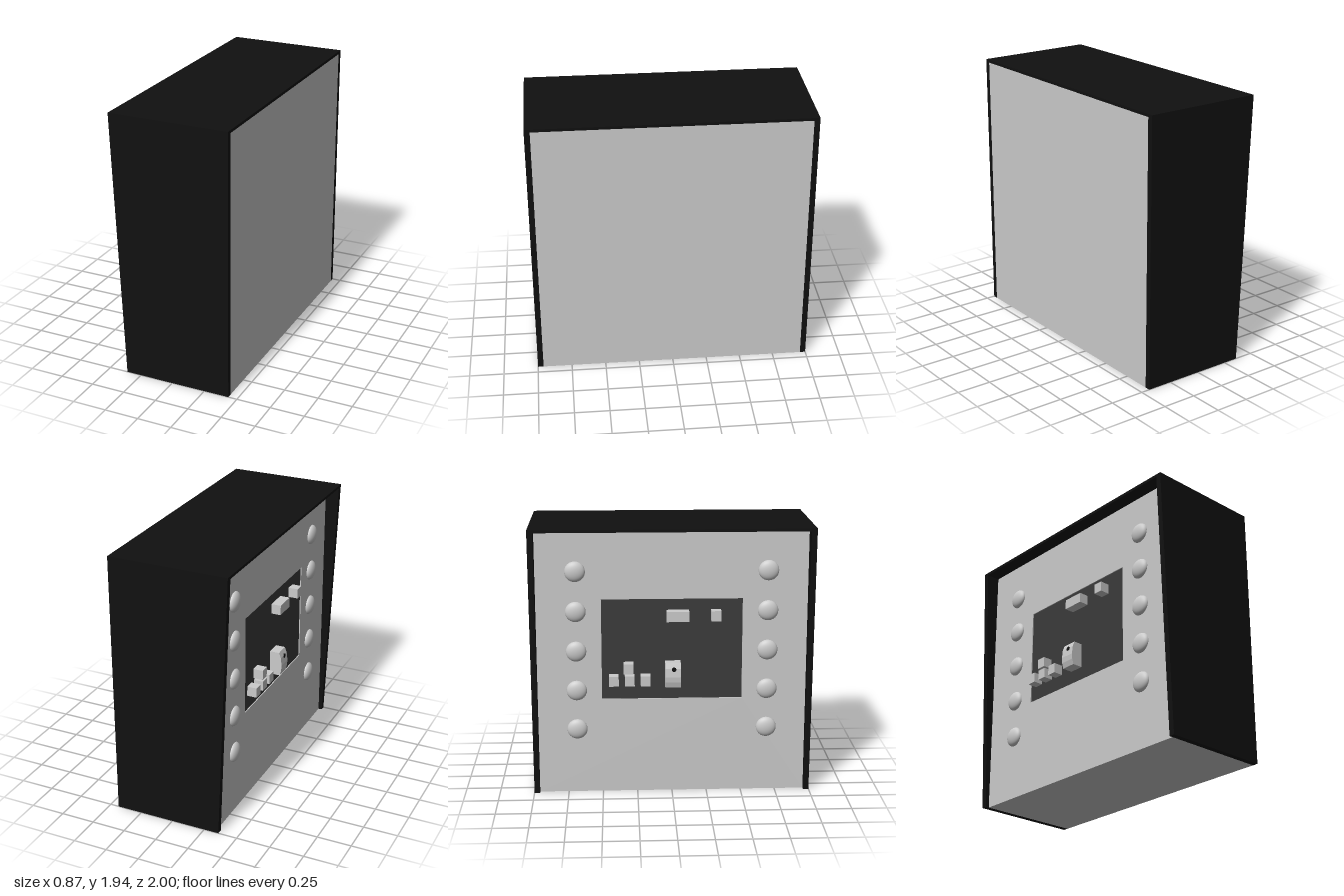
import * as THREE from 'three';

const grey = new THREE.MeshStandardMaterial({ color: 0xcccccc });
const black = new THREE.MeshStandardMaterial({ color: 0x101010 });
const dark = new THREE.MeshStandardMaterial({ color: 0x3b3b3b });

const BACK = 0.435, FACE = -0.333, RECESS = -0.322, WALL = 0.04, TOP = 1.94, ROOF = 1.92;

export function createModel() {
  const model = new THREE.Group();

  const add = (name, geometry, material) => {
    const mesh = new THREE.Mesh(geometry, material);
    mesh.name = name;
    model.add(mesh);
    return mesh;
  };
  // box given by its limits on each axis
  const box = (name, material, x0, x1, y0, y1, z0, z1) =>
    add(name, new THREE.BoxGeometry(x1 - x0, y1 - y0, z1 - z0), material)
      .position.set((x0 + x1) / 2, (y0 + y1) / 2, (z0 + z1) / 2);
  // x-y outline extruded along z
  const slab = (name, material, points, z0, z1) => {
    const shape = new THREE.Shape(points.map(([x, y]) => new THREE.Vector2(x, y)));
    const geometry = new THREE.ExtrudeGeometry(shape, { depth: z1 - z0, bevelEnabled: false });
    add(name, geometry, material).position.z = z0;
  };

  // cabinet: side walls with a leaning front edge, and the roof
  const lean = (y) => -0.36 - 0.077 * y / TOP;
  const wall = [[lean(0), 0], [BACK, 0], [BACK, TOP], [lean(TOP), TOP]];
  slab('leftWall', black, wall, 1 - WALL, 1);
  slab('rightWall', black, wall, -1, WALL - 1);
  slab('roof', black, [[lean(ROOF), ROOF], [BACK, ROOF], [BACK, TOP], [lean(TOP), TOP]], WALL - 1, 1 - WALL);

  // inner body, filling the cabinet from the window recess to the back
  box('innerBody', grey, RECESS, BACK, 0, ROOF, WALL - 1, 1 - WALL);

  // face panel with the window cut out (shape x becomes z)
  const panel = new THREE.Shape([[-0.96, 0], [0.96, 0], [0.96, ROOF], [-0.96, ROOF]]
    .map(([x, y]) => new THREE.Vector2(x, y)));
  panel.holes.push(new THREE.Path([[-0.5, 0.7], [-0.5, 1.43], [0.5, 1.43], [0.5, 0.7]]
    .map(([x, y]) => new THREE.Vector2(x, y))));
  const panelGeometry = new THREE.ExtrudeGeometry(panel, { depth: RECESS - FACE, bevelEnabled: false });
  panelGeometry.rotateY(-Math.PI / 2);
  add('facePanel', panelGeometry, grey).position.x = RECESS;

  // dark window backing
  box('window', dark, RECESS - 0.004, RECESS, 0.7, 1.43, -0.5, 0.5);

  // two columns of domed lamps
  const dome = new THREE.SphereGeometry(0.073, 24, 12, 0, Math.PI * 2, 0, Math.PI / 2);
  dome.rotateZ(Math.PI / 2);
  for (const z of [-0.68, 0.68]) {
    for (let i = 0; i < 5; i++) {
      const lamp = add('lamp', dome, grey);
      lamp.position.set(FACE, 1.63 - i * 0.288, z);
      lamp.scale.x = 0.5;
    }
  }

  // small blocks: a row of three with one on top, and two floating above
  const block = (y, z, width = 0.07) =>
    box('block', grey, FACE - 0.065, RECESS - 0.003, y, y + 0.073, z, z + width);
  for (const z of [-0.45, -0.337, -0.224]) block(0.81, z);
  block(0.9, -0.345);
  block(1.277, -0.04, 0.16);
  block(1.28, 0.275);

  // figure with a bulging front and a dark eye
  slab('figure', grey, [[-0.325, 0.8], [-0.403, 0.8], [-0.414, 0.84], [-0.417, 0.88],
    [-0.41, 0.94], [-0.395, 0.98], [-0.325, 0.98]].reverse(), -0.05, 0.06);
  const eye = add('figureEye', new THREE.CylinderGeometry(0.016, 0.016, 0.012, 16), black);
  eye.rotation.z = Math.PI / 2;
  eye.position.set(-0.408, 0.934, 0.012);

  return model;
}
